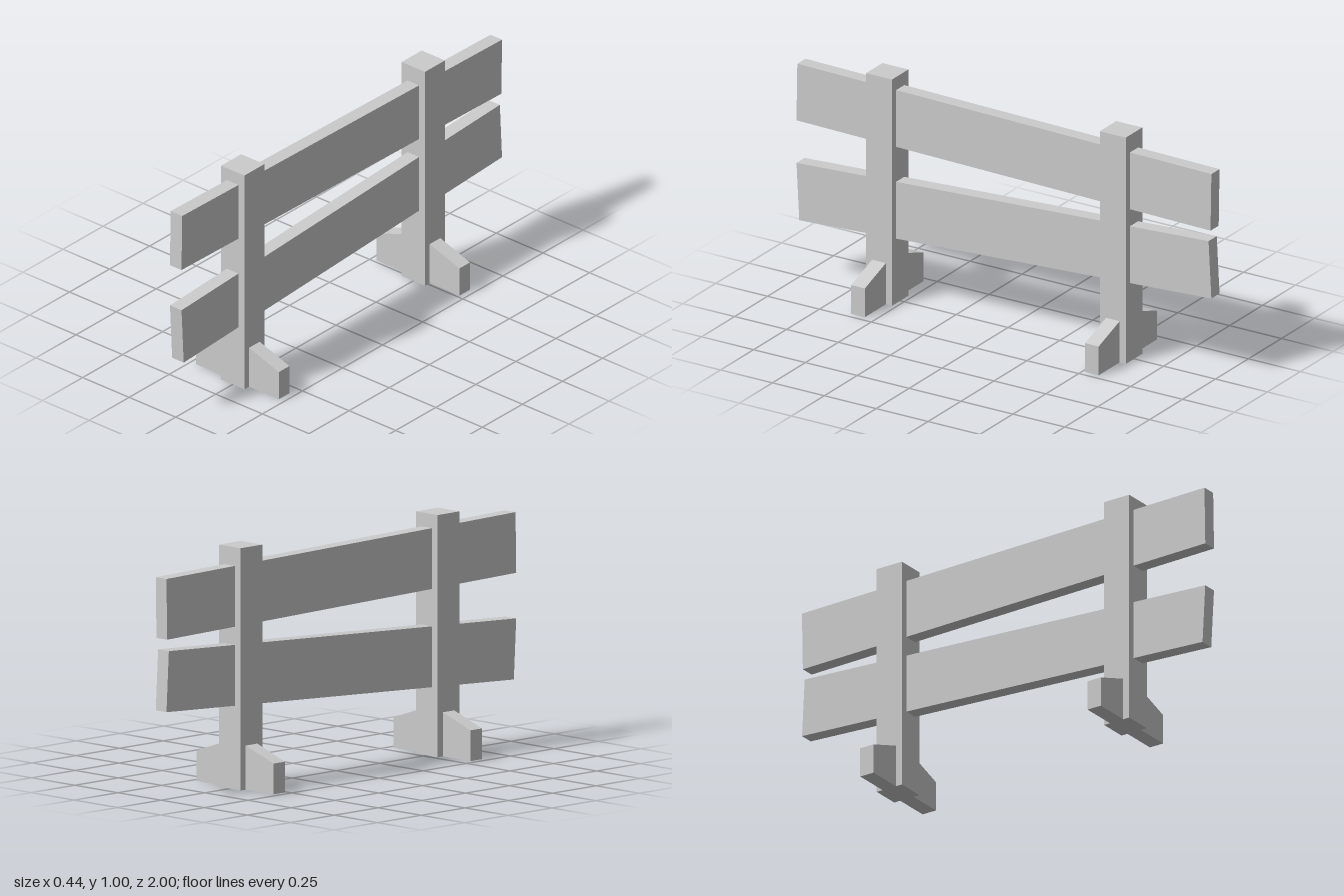
import * as THREE from 'three';

const POST = 0.125, FOOT_DEPTH = 0.066;

export function createModel() {
  const group = new THREE.Group();
  const material = new THREE.MeshStandardMaterial({ color: 0xcccccc, flatShading: true });
  const add = (name, geometry, parent = group) => {
    const mesh = new THREE.Mesh(geometry, material);
    mesh.name = name;
    parent.add(mesh);
    return mesh;
  };

  // Foot block with a sloping top, butted against the side of a post
  const profile = new THREE.Shape([
    [POST / 2, 0], [0.222, 0], [0.222, 0.127], [POST / 2, 0.182],
  ].map(([x, y]) => new THREE.Vector2(x, y)));
  const footGeometry = new THREE.ExtrudeGeometry(profile, { depth: FOOT_DEPTH, bevelEnabled: false })
    .translate(0, 0, -FOOT_DEPTH / 2);

  // Two upright posts, each with a foot on either side
  for (const [side, z] of [['front', 0.582], ['back', -0.545]]) {
    const support = new THREE.Group();
    support.name = side + 'Support';
    support.position.z = z;
    add(side + 'Post', new THREE.BoxGeometry(POST, 1, POST), support).position.y = 0.5;
    add(side + 'LeftFoot', footGeometry, support);
    add(side + 'RightFoot', footGeometry, support).rotation.y = Math.PI;
    group.add(support);
  }

  // Two planks running through the posts, each at its own tilt
  for (const [name, y, length, tilt] of [
    ['upperRail', 0.808, 1.996, -0.0168],
    ['lowerRail', 0.439, 1.989, 0.0535],
  ]) {
    const rail = add(name, new THREE.BoxGeometry(0.062, 0.251, length));
    rail.position.y = y;
    rail.rotation.x = tilt;
  }

  return group;
}
